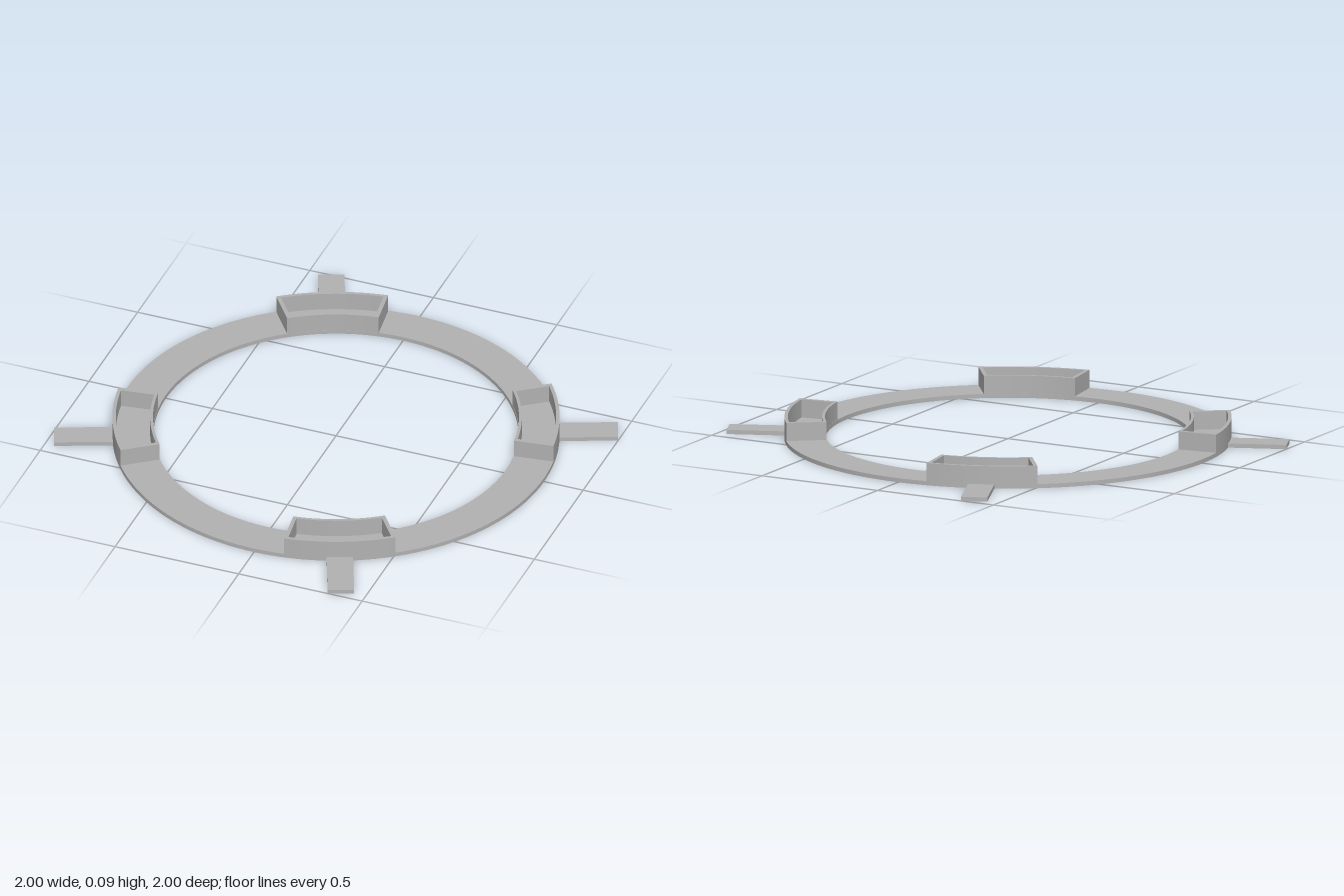
import * as THREE from 'three';
import { toCreasedNormals } from 'three/addons/utils/BufferGeometryUtils.js';

const OUTER = 0.842, INNER = 0.688;   // ring radii
const BASE = 0.016, TOP = 0.086;      // plate thickness, tray rim height
const MID = Math.PI / 8;              // direction of the first tray and tab
const HALF = THREE.MathUtils.degToRad(14.5);

// Outline of a ring sector; inset moves the end lines inwards in parallel
function sector(Class, r0, r1, inset) {
  const a0 = HALF - inset / r0, a1 = HALF - inset / r1;
  const s = new Class();
  s.absarc(0, 0, r1, MID - a1, MID + a1, false);
  s.absarc(0, 0, r0, MID + a0, MID - a0, true);
  s.closePath();
  return s;
}

// Extrude a plan shape upwards from y = bottom to y = top
function extrudeUp(shape, bottom, top, curveSegments) {
  const g = new THREE.ExtrudeGeometry(shape, { depth: top - bottom, bevelEnabled: false, curveSegments });
  g.rotateX(-Math.PI / 2);
  g.translate(0, bottom, 0);
  return toCreasedNormals(g, 0.5);
}

export function createModel() {
  const model = new THREE.Group();
  const grey = new THREE.MeshStandardMaterial({ color: 0xb2b2b2 });
  grey.name = 'grey';

  const add = (parent, name, geometry) => {
    const mesh = new THREE.Mesh(geometry, grey);
    mesh.name = name;
    parent.add(mesh);
  };

  // Flat base ring
  const ring = new THREE.Shape();
  ring.absarc(0, 0, OUTER, 0, Math.PI * 2, false);
  const opening = new THREE.Path();
  opening.absarc(0, 0, INNER, 0, Math.PI * 2, true);
  ring.holes.push(opening);
  add(model, 'baseRing', extrudeUp(ring, 0, BASE, 128));

  // Open curved tray: four thin walls standing on the ring
  const tray = sector(THREE.Shape, INNER + 0.001, OUTER, 0);
  tray.holes.push(sector(THREE.Path, INNER + 0.012, OUTER - 0.013, 0.015));
  const trayGeometry = extrudeUp(tray, BASE, TOP, 24);

  // Flat tab reaching out from the rim
  const tabStart = OUTER - 0.002, tabEnd = 1.062;
  const tabGeometry = new THREE.BoxGeometry(tabEnd - tabStart, BASE, 0.1);
  tabGeometry.translate((tabStart + tabEnd) / 2, BASE / 2, 0);
  tabGeometry.rotateY(MID);

  // Four identical stations, a quarter turn apart
  for (let i = 0; i < 4; i++) {
    const station = new THREE.Group();
    station.name = 'station' + (i + 1);
    station.rotation.y = i * Math.PI / 2;
    add(station, 'trayWalls', trayGeometry);
    add(station, 'tab', tabGeometry);
    model.add(station);
  }
  return model;
}
